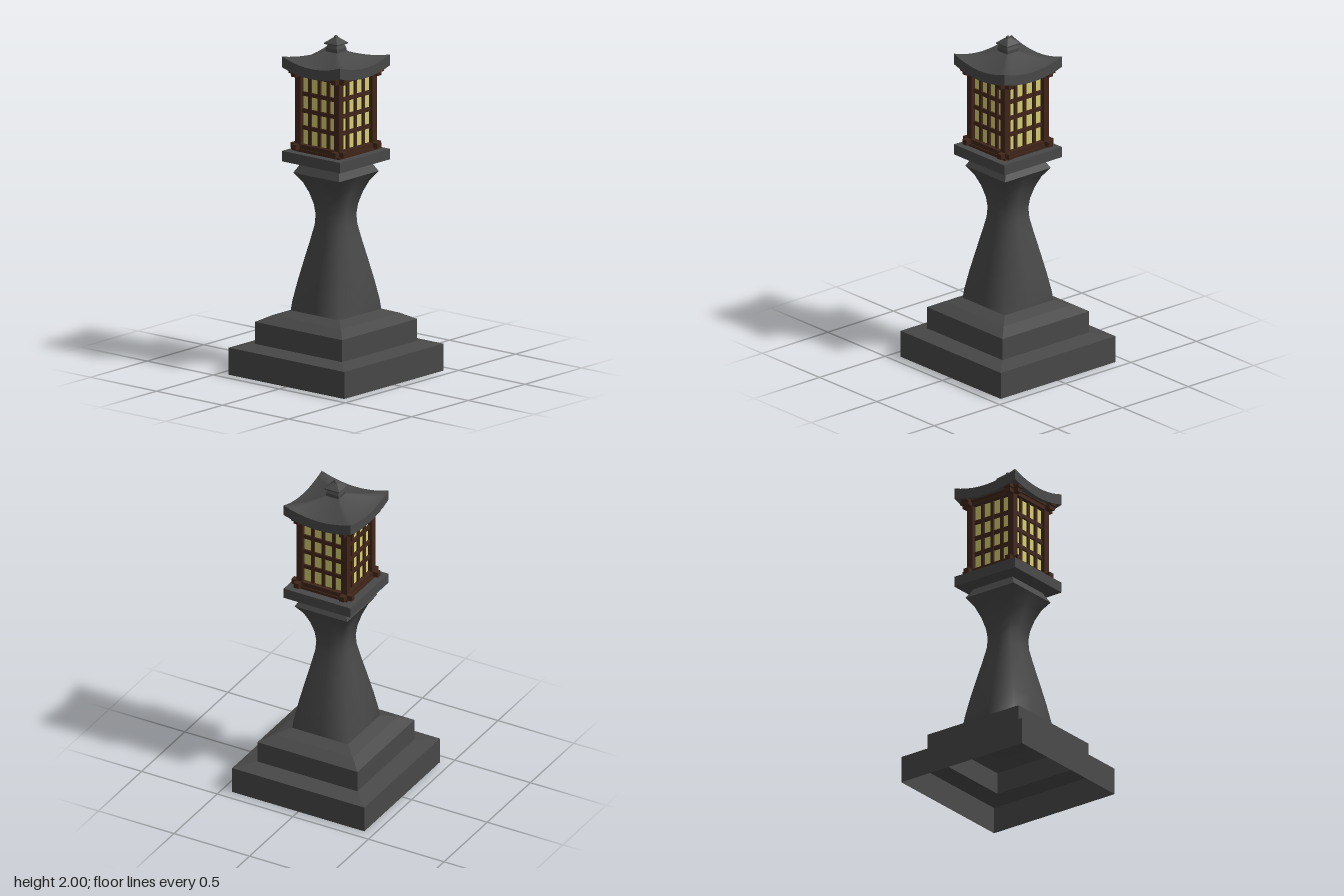
import * as THREE from 'three';

const stone = new THREE.MeshStandardMaterial({ color: 0x484848, side: THREE.DoubleSide });
stone.name = 'dark stone';
const wood = new THREE.MeshStandardMaterial({ color: 0x40261a });
wood.name = 'dark wood';
const paper = new THREE.MeshStandardMaterial({ color: 0xd6ce70 });
paper.name = 'glowing paper';

// Skin over square rings, listed bottom to top; heights may vary along the sides
function squareLoft(rings, perSide, smooth) {
  const corners = [[1, 1], [1, -1], [-1, -1], [-1, 1]];
  const pos = [], index = [], count = perSide * 4;
  for (const [half, y] of rings) {
    for (let i = 0; i < count; i++) {
      const side = Math.floor(i / perSide), t = (i % perSide) / perSide;
      const a = corners[side], b = corners[(side + 1) % 4];
      const height = typeof y === 'function' ? y(2 * t - 1) : y;
      pos.push(half * (a[0] + (b[0] - a[0]) * t), height, half * (a[1] + (b[1] - a[1]) * t));
    }
  }
  for (let k = 0; k < rings.length - 1; k++) {
    for (let i = 0; i < count; i++) {
      const j = (i + 1) % count;
      const a = k * count + i, b = k * count + j, c = b + count, d = a + count;
      index.push(a, b, c, a, c, d);
    }
  }
  let geo = new THREE.BufferGeometry();
  geo.setAttribute('position', new THREE.Float32BufferAttribute(pos, 3));
  geo.setIndex(index);
  if (!smooth) geo = geo.toNonIndexed();
  geo.computeVertexNormals();
  return geo;
}

function add(parent, name, geo, mat, x = 0, y = 0, z = 0) {
  const mesh = new THREE.Mesh(geo, mat);
  mesh.name = name;
  mesh.position.set(x, y, z);
  parent.add(mesh);
  return mesh;
}

function box(parent, name, mat, w, h, d, x, y, z) {
  return add(parent, name, new THREE.BoxGeometry(w, h, d), mat, x, y, z);
}

// Curved roof with lifted corners, as top, rim and underside
function buildRoof() {
  const roof = new THREE.Group();
  roof.name = 'roof';
  const H = 0.22, n = 10;
  const topY = (half) => (s) => {
    const u = half / H;
    return 1.84 + 0.085 * Math.pow(1 - u, 1.3) + 0.04 * s * s * u * u;
  };
  const eaveY = (s) => 1.78 + 0.035 * s * s;
  const rings = [];
  for (let k = 0; k <= 8; k++) {
    const half = H + (0.03 - H) * k / 8;
    rings.push([half, topY(half)]);
  }
  add(roof, 'roofTop', squareLoft(rings, n, true), stone);
  add(roof, 'roofRim', squareLoft([[H, eaveY], [H, topY(H)]], n, false), stone);
  add(roof, 'roofUnderside', squareLoft([[0, 1.81], [0.14, 1.805], [H, eaveY]], n, false), stone);

  // Finial with a small pyramid cap and ball
  add(roof, 'finial', squareLoft([
    [0.042, 1.9], [0.042, 1.925], [0.034, 1.945], [0.048, 1.948], [0.048, 1.956], [0.01, 1.988], [0, 1.99],
  ], 1, false), stone);
  add(roof, 'finialBall', new THREE.SphereGeometry(0.013, 12, 8), stone, 0, 1.987, 0);
  return roof;
}

// One lattice side of the lantern, facing +z
function buildSide() {
  const side = new THREE.Group();
  side.name = 'lanternSide';
  for (let i = -1; i <= 1; i++) {
    box(side, 'uprightBar', wood, 0.02, 0.45, 0.016, i * 0.07, 1.56, 0.144);
    box(side, 'crossBar', wood, 0.27, 0.024, 0.014, 0, 1.562 + i * 0.1, 0.144);
  }
  // Rails with ends reaching past the corner posts
  box(side, 'lowerRail', wood, 0.4, 0.032, 0.034, 0, 1.348, 0.15);
  box(side, 'lowerSill', wood, 0.345, 0.02, 0.045, 0, 1.327, 0.15);
  box(side, 'upperRail', wood, 0.4, 0.026, 0.034, 0, 1.777, 0.15);
  box(side, 'upperPlate', wood, 0.425, 0.024, 0.044, 0, 1.8, 0.155);
  return side;
}

export function createModel() {
  const model = new THREE.Group();
  model.name = 'stoneLantern';

  // Hollow stepped base, open underneath
  add(model, 'steppedBase', squareLoft([
    [0.437, 0], [0.437, 0.16], [0.33, 0.18], [0.33, 0.31], [0.26, 0.348], [0.185, 0.375],
  ], 1, false), stone);

  // Waisted square column
  add(model, 'column', squareLoft([
    [0.185, 0.37], [0.178, 0.43], [0.158, 0.54], [0.131, 0.67], [0.105, 0.79], [0.087, 0.88],
    [0.083, 0.94], [0.09, 1.0], [0.109, 1.07], [0.136, 1.135], [0.174, 1.19],
  ], 2, true), stone);
  add(model, 'columnHead', squareLoft([[0.174, 1.19], [0.14, 1.25]], 1, false), stone);

  // Slab that carries the lantern
  add(model, 'lanternSlab', squareLoft([
    [0, 1.246], [0.14, 1.248], [0.22, 1.258], [0.22, 1.32], [0, 1.32],
  ], 1, false), stone);

  // Lantern box: paper core, four posts and four lattice sides
  const lantern = new THREE.Group();
  lantern.name = 'lantern';
  box(lantern, 'paperPanels', paper, 0.28, 0.47, 0.28, 0, 1.56, 0);
  for (const x of [-1, 1]) {
    for (const z of [-1, 1]) {
      box(lantern, 'cornerPost', wood, 0.04, 0.49, 0.04, x * 0.147, 1.56, z * 0.147);
    }
  }
  for (let i = 0; i < 4; i++) {
    const side = buildSide();
    side.rotation.y = i * Math.PI / 2;
    lantern.add(side);
  }
  model.add(lantern);

  model.add(buildRoof());
  return model;
}
